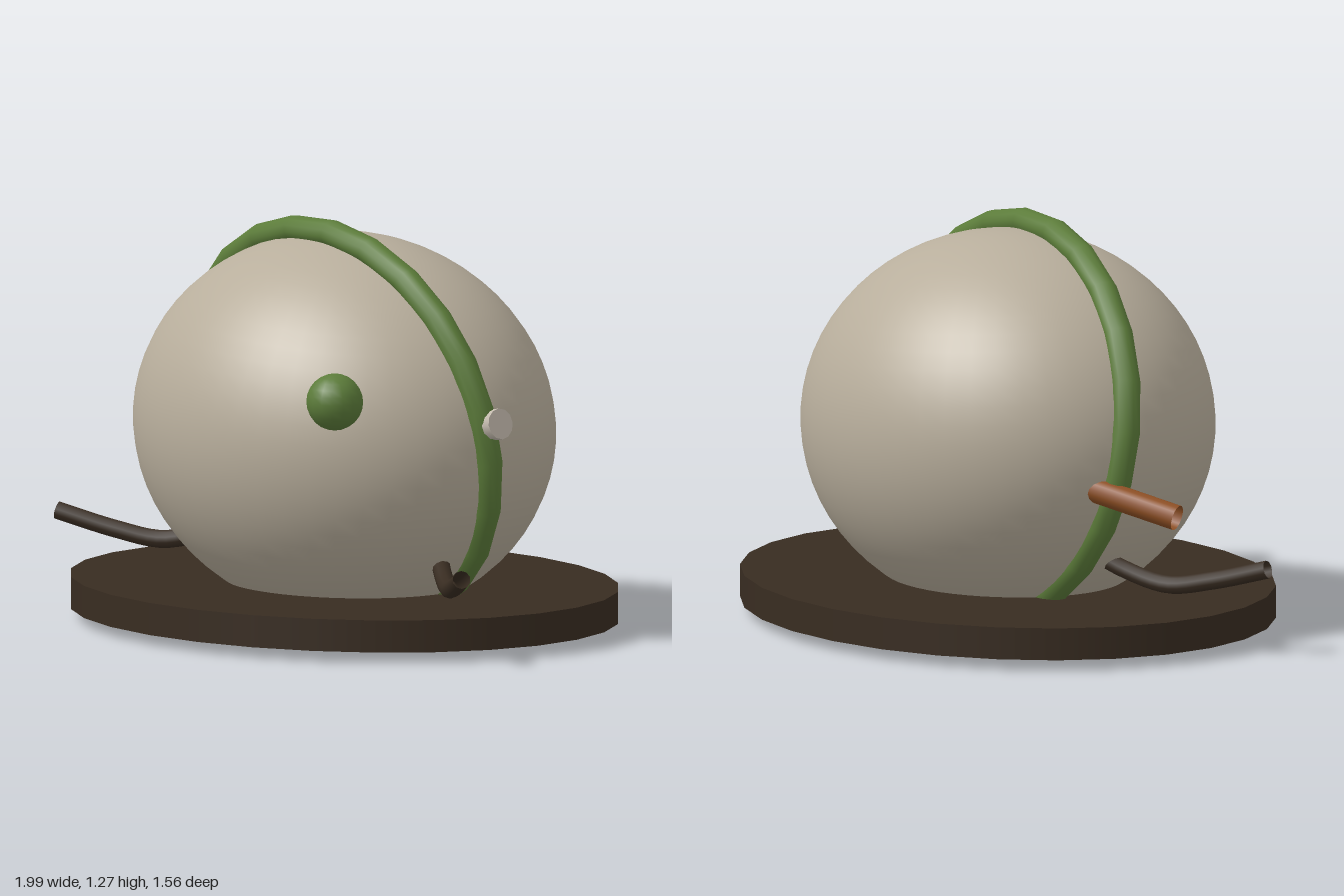
import * as THREE from 'three';

const mat = (name, color, side = THREE.FrontSide) => {
  const m = new THREE.MeshStandardMaterial({ color, side });
  m.name = name;
  return m;
};

export function createModel() {
  const model = new THREE.Group();
  const stone = mat('warm stone', 0xb8ae9c);
  const green = mat('moss green', 0x5c7c3a);
  const bark = mat('dark bark', 0x382c21, THREE.DoubleSide);
  const rust = mat('rust orange', 0x8f5024, THREE.DoubleSide);
  const pale = mat('pale button', 0xc4bbae);

  const add = (name, geometry, material, x = 0, y = 0, z = 0) => {
    const mesh = new THREE.Mesh(geometry, material);
    mesh.name = name;
    mesh.position.set(x, y, z);
    model.add(mesh);
    return mesh;
  };

  // Oval base disc
  add('base', new THREE.CylinderGeometry(1, 1, 0.1, 28), bark, 0, 0.09, 0).scale.set(0.94, 1, 0.78);

  // Egg-shaped body, leaning slightly
  const body = add('body', new THREE.SphereGeometry(1, 48, 32), stone, 0, 0.625, 0);
  body.scale.set(0.705, 0.595, 0.615);
  body.rotation.z = -0.08;

  // Tilted vine ring around the body
  const ring = add('vineRing', new THREE.TorusGeometry(0.65, 0.045, 12, 24), green, 0, 0.64, 0);
  ring.scale.set(1.075, 0.925, 1);
  ring.rotation.set(0.15, -0.015, -0.08);

  // Round bud on the front
  add('bud', new THREE.SphereGeometry(0.088, 16, 12), green, 0.505, 0.792, 0.455);

  // Small button on the side
  const button = add('sideButton', new THREE.CylinderGeometry(0.048, 0.048, 0.05, 12), pale, 0.732, 0.705, 0);
  button.rotation.z = -Math.PI / 2 + 0.2;

  // Straight spout on the other side
  const spoutPath = new THREE.LineCurve3(
    new THREE.Vector3(-0.62, 0.53, -0.11), new THREE.Vector3(-0.885, 0.453, 0.07));
  add('spout', new THREE.TubeGeometry(spoutPath, 1, 0.04, 14), rust);

  // Mirrored curved twigs
  for (const s of [-1, 1]) {
    const path = new THREE.CatmullRomCurve3([
      [0.48, 0.285, 0.02], [0.57, 0.238, 0.08], [0.69, 0.205, 0.155], [0.82, 0.23, 0.238], [0.98, 0.28, 0.34],
    ].map(([x, y, z]) => new THREE.Vector3(s * x, y, z)));
    add(s > 0 ? 'leftTwig' : 'rightTwig', new THREE.TubeGeometry(path, 20, 0.028, 10), bark);
  }
  return model;
}
